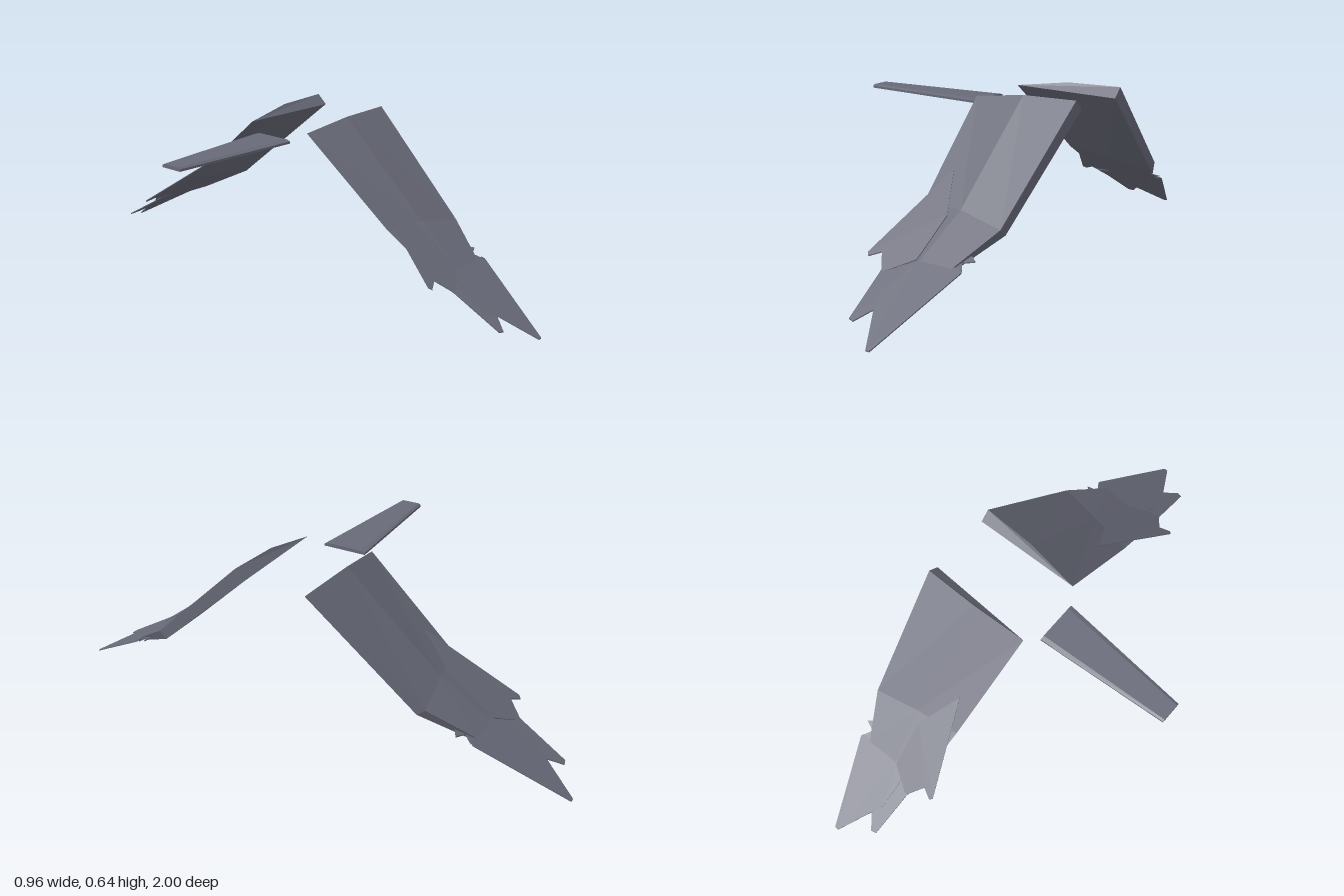
import * as THREE from 'three';

const slate = new THREE.MeshStandardMaterial({ color: 0x686a78 });
slate.name = 'slate grey';

// Flat faceted mesh from triangle corners; turns faces outward by signed volume.
function solid(name, points) {
  const volume = (t) => t[0].dot(new THREE.Vector3().crossVectors(t[1], t[2]));
  let total = 0;
  for (let i = 0; i < points.length; i += 3) total += volume(points.slice(i, i + 3));
  if (total < 0) {
    for (let i = 0; i < points.length; i += 3) {
      [points[i + 1], points[i + 2]] = [points[i + 2], points[i + 1]];
    }
  }
  const geometry = new THREE.BufferGeometry().setFromPoints(points);
  geometry.computeVertexNormals();
  const mesh = new THREE.Mesh(geometry, slate);
  mesh.name = name;
  return mesh;
}

// Closed skin over matching cross-sections, capped at both ends.
function loft(name, sections, side = 1) {
  const rings = sections.map((s) => s.map(([x, y, z]) => new THREE.Vector3(x, y, z * side)));
  const n = rings[0].length;
  const out = [];
  for (let r = 0; r < rings.length - 1; r++) {
    for (let i = 0; i < n; i++) {
      const j = (i + 1) % n;
      const a = rings[r][i], b = rings[r][j], c = rings[r + 1][j], d = rings[r + 1][i];
      out.push(a, b, c, a, c, d);
    }
  }
  const last = rings[rings.length - 1];
  for (let i = 1; i < n - 1; i++) {
    out.push(rings[0][0], rings[0][i + 1], rings[0][i]);
    out.push(last[0], last[i], last[i + 1]);
  }
  return solid(name, out);
}

// Thin plate with an (x, z) outline, sloping outward from height y0 at z0.
function feather(name, outline, z0, y0, slope, side) {
  const shape = new THREE.Shape(outline.map(([x, z]) => new THREE.Vector2(x, z)));
  const flat = new THREE.ExtrudeGeometry(shape, { depth: 0.004, bevelEnabled: false }).toNonIndexed();
  const p = flat.attributes.position;
  const out = [];
  for (let i = 0; i < p.count; i++) {
    const z = p.getY(i);
    out.push(new THREE.Vector3(p.getX(i), y0 + slope * (z - z0) + p.getZ(i), z * side));
  }
  return solid(name, out);
}

// Trailing edge, upper ridge, upper and lower leading edge, lower ridge.
const wingSections = [
  [[0.065, 0.605, 0.132], [0.27, 0.632, 0.152], [0.478, 0.635, 0.155], [0.478, 0.6, 0.117], [0.27, 0.612, 0.138]],
  [[0.095, 0.31, 0.48], [0.26, 0.31, 0.507], [0.435, 0.28, 0.54], [0.435, 0.255, 0.51], [0.26, 0.285, 0.485]],
  [[0.11, 0.19, 0.665], [0.23, 0.181, 0.688], [0.355, 0.18, 0.69], [0.355, 0.17, 0.672], [0.23, 0.173, 0.67]],
];

const tipOutline = [[0.225, 0.67], [0.39, 0.685], [0.395, 0.695], [0.28, 1], [0.265, 1], [0.17, 0.83], [0.17, 0.72]];
const middleOutline = [[0.105, 0.69], [0.12, 0.75], [0.135, 0.92], [0.155, 0.925], [0.19, 0.88], [0.24, 0.84], [0.25, 0.68]];
const trailingOutline = [[0.15, 0.39], [0.03, 0.7], [0.04, 0.71], [0.08, 0.69], [0.125, 0.75], [0.22, 0.69], [0.23, 0.54]];
const leadingOutline = [[0.33, 0.56], [0.385, 0.595], [0.38, 0.62], [0.41, 0.64], [0.37, 0.655], [0.39, 0.685], [0.345, 0.69]];

function wing(name, side) {
  const group = new THREE.Group();
  group.name = name;
  group.add(
    loft('wingPanel', wingSections, side),
    feather('tipFeather', tipOutline, 0.69, 0.176, -0.58, side),
    feather('middleFeather', middleOutline, 0.69, 0.173, -0.57, side),
    feather('trailingFeather', trailingOutline, 0.39, 0.401, -0.73, side),
    feather('leadingFeather', leadingOutline, 0.56, 0.237, -0.5, side),
  );
  return group;
}

// Tail cross-section: a shallow slab with slightly sloping sides.
const tailSection = (x, half) => [
  [x, 0.566, -half], [x, 0.566, half], [x, 0.574, half],
  [x, 0.579, half * 0.8], [x, 0.579, -half * 0.8], [x, 0.574, -half],
];

export function createModel() {
  const model = new THREE.Group();
  model.name = 'wingsAndTail';
  model.add(
    wing('frontWing', 1),
    wing('backWing', -1),
    loft('tail', [tailSection(-0.48, 0.042), tailSection(0.03, 0.083)]),
  );
  return model;
}
